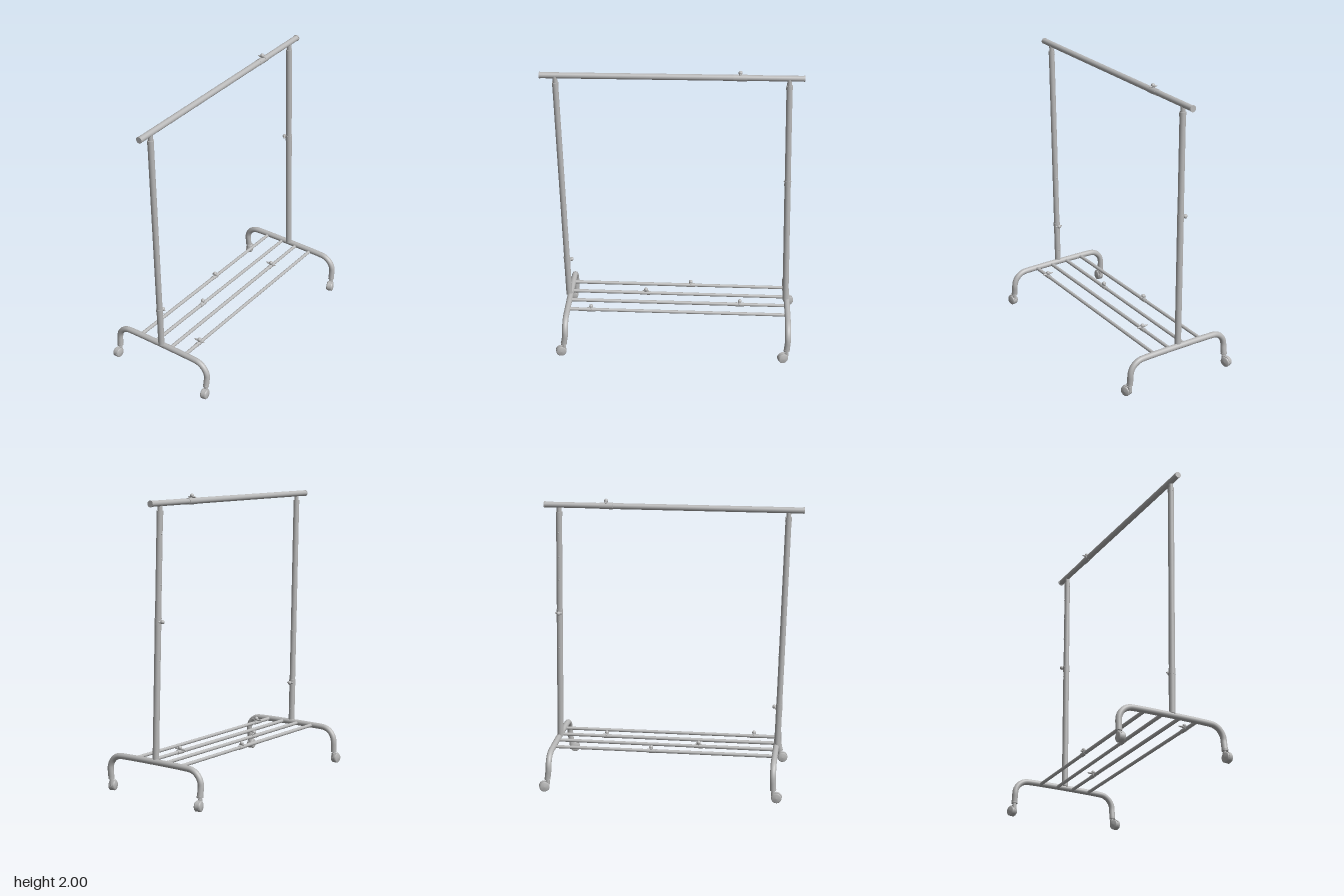
import * as THREE from 'three';

const V = (x, y, z) => new THREE.Vector3(x, y, z);
const UP = V(0, 1, 0);

export function createModel() {
  const model = new THREE.Group();
  model.name = 'clothesRack';
  const metal = new THREE.MeshStandardMaterial({ color: 0xb8b8b8 });
  metal.name = 'grey metal';

  const add = (parent, geometry, name) => {
    const mesh = new THREE.Mesh(geometry, metal);
    mesh.name = name;
    parent.add(mesh);
    return mesh;
  };

  // Straight capped tube between two points
  const rod = (parent, name, a, b, r, sides = 20) => {
    const dir = b.clone().sub(a);
    const mesh = add(parent, new THREE.CylinderGeometry(r, r, dir.length(), sides), name);
    mesh.position.copy(a).lerp(b, 0.5);
    mesh.quaternion.setFromUnitVectors(UP, dir.normalize());
  };

  // Telescoping tube: wide sleeve from a to the joint, narrower tube on to b
  const telescope = (name, a, b, t, r1, r2) => {
    const joint = a.clone().lerp(b, t);
    rod(model, name + 'Sleeve', a, joint, r1);
    rod(model, name + 'Inner', joint, b, r2);
    return joint;
  };

  // Winged clamp screw; out = screw direction, along = tube direction
  const clamp = (name, p, out, along, { tubeR, collar, height, wing, wingAlong = false }) => {
    const g = new THREE.Group();
    g.name = name;
    const x = V(0, 0, 0).crossVectors(out, along).normalize();
    g.quaternion.setFromRotationMatrix(new THREE.Matrix4().makeBasis(x, out, along));
    g.position.copy(p);
    rod(g, 'clampCollar', V(0, 0, -collar), V(0, 0, collar), tubeR + 0.003);
    rod(g, 'screw', V(0, 0, 0), V(0, height - 0.008, 0), 0.010, 12);
    const head = add(g, new THREE.SphereGeometry(0.014, 14, 10), 'screwHead');
    head.position.y = height - 0.012;
    const wings = add(g, new THREE.SphereGeometry(1, 16, 10), 'wings');
    wings.scale.set(wing, 0.007, 0.009);
    wings.position.y = tubeR + 0.007;
    if (wingAlong) wings.rotation.y = Math.PI / 2;
    model.add(g);
  };

  // Hanging rail
  const railA = V(0.019, 1.952, 0.885), railB = V(-0.05, 1.953, -0.882);
  const railDir = railB.clone().sub(railA).normalize();
  const railJoint = telescope('rail', railA, railB, 0.758, 0.0205, 0.0195);
  clamp('railClamp', railJoint, UP, railDir, { tubeR: 0.0195, collar: 0.045, height: 0.047, wing: 0.034 });
  rod(model, 'railEndCap', railA, railA.clone().addScaledVector(railDir, 0.008), 0.0222);
  rod(model, 'railEndCap', railB.clone().addScaledVector(railDir, -0.008), railB, 0.0222);

  // Posts with a slimmer neck under the rail
  const posts = [
    { name: 'frontPost', a: V(0.021, 0.272, 0.738), b: V(0.02, 1.905, 0.779), t: 0.175, out: V(0, 0, -1), height: 0.046, stops: [0.055, 0.41] },
    { name: 'backPost', a: V(-0.019, 0.272, -0.815), b: V(-0.042, 1.905, -0.781), t: 0.563, out: V(-1, 0, 0), height: 0.05, stops: [0.405, 0.525, 0.71, 0.81, 0.91] },
  ];
  for (const { name, a, b, t, out, height, stops } of posts) {
    const along = b.clone().sub(a).normalize();
    const joint = telescope(name, a, b, t, 0.0215, 0.0205);
    const normal = out.clone().addScaledVector(along, -out.dot(along)).normalize();
    clamp(name + 'Clamp', joint, normal, along, { tubeR: 0.0205, collar: 0.022, height, wing: 0.028 });
    rod(model, name + 'TopCollar', b.clone().addScaledVector(along, -0.03), b, 0.022);
    rod(model, name + 'Neck', b, b.clone().addScaledVector(along, 0.045), 0.016);
    // Height stop buttons
    for (const s of stops) {
      const button = add(model, new THREE.SphereGeometry(0.006, 10, 8), name + 'Button');
      button.position.copy(a).lerp(b, s).addScaledVector(normal, 0.018);
    }
  }

  // Twin-wheel caster, trailing behind its stem
  const caster = (foot, hub) => {
    const g = new THREE.Group();
    g.name = 'caster';
    g.position.set(hub.x, 0, hub.z);
    const dir = hub.clone().sub(foot);
    g.rotation.y = Math.atan2(dir.x, dir.z);
    const trail = Math.hypot(dir.x, dir.z);
    const profile = [[0, -0.010], [0.031, -0.010], [0.035, -0.006], [0.035, 0.003], [0.029, 0.009], [0, 0.012]]
      .map(([r, y]) => new THREE.Vector2(r, y));
    for (const s of [-1, 1]) {
      const wheel = add(g, new THREE.LatheGeometry(profile, 24), 'wheel');
      wheel.rotation.z = -s * Math.PI / 2;
      wheel.position.set(s * 0.0135, 0.037, 0);
    }
    // Rounded hood between and over the wheels, with the swivel stem
    rod(g, 'hood', V(-0.011, 0.039, 0), V(0.011, 0.039, 0), 0.0365, 24);
    rod(g, 'stem', V(0, 0.04, -trail), V(0, 0.1, -trail), 0.011, 14);
    rod(g, 'stemCollar', V(0, 0.05, -trail), V(0, 0.078, -trail), 0.015, 14);
    model.add(g);
  };

  // Base bars bent down into legs, left end then right end
  const bases = [
    { name: 'frontBase', xs: [-0.358, 0.403], barZ: [0.743, 0.717], footZ: [0.746, 0.728], hubs: [[-0.358, 0.77], [0.407, 0.747]] },
    { name: 'backBase', xs: [-0.402, 0.37], barZ: [-0.811, -0.838], footZ: [-0.82, -0.832], hubs: [[-0.409, -0.842], [0.38, -0.806]] },
  ];
  const barY = 0.26, bend = 0.1;
  for (const { name, xs, barZ, footZ, hubs } of bases) {
    const leg = (i) => {
      const x = xs[i], s = Math.sign(x);
      const slope = (barZ[1] - barZ[0]) / (xs[1] - xs[0]);
      const pts = [V(x, 0.092, footZ[i]), V(x, 0.125, THREE.MathUtils.lerp(footZ[i], barZ[i], 0.5))];
      for (let k = 0; k <= 6; k++) {
        const t = (k / 6) * Math.PI / 2;
        const inset = s * bend * (1 - Math.cos(t));
        pts.push(V(x - inset, barY - bend * (1 - Math.sin(t)), barZ[i] - slope * inset));
      }
      return pts;
    };
    const path = new THREE.CatmullRomCurve3([...leg(0), ...leg(1).reverse()], false, 'centripetal');
    add(model, new THREE.TubeGeometry(path, 120, 0.0205, 18), name + 'Bar');
    xs.forEach((x, i) => {
      rod(model, name + 'FootPlug', V(x, 0.088, footZ[i]), V(x, 0.1, footZ[i]), 0.0215);
      caster(V(x, 0, footZ[i]), V(hubs[i][0], 0, hubs[i][1]));
    });
  }

  // Four telescoping shelf rods: back x, front x, joint z, wing length, wing along the rod
  const shelf = [
    [-0.21, -0.167, -0.125, 0.024, false],
    [-0.078, -0.04, 0.19, 0.022, true],
    [0.043, 0.088, -0.49, 0.045, false],
    [0.17, 0.214, 0.555, 0.045, false],
  ];
  shelf.forEach(([xBack, xFront, jointZ, wing, wingAlong], i) => {
    const a = V(xFront, 0.262, 0.73), b = V(xBack, 0.257, -0.82);
    const joint = telescope('shelfRod' + (i + 1), a, b, (0.73 - jointZ) / 1.55, 0.0125, 0.0115);
    const along = b.clone().sub(a).setY(0).normalize();
    clamp('shelfClamp' + (i + 1), joint, UP, along, { tubeR: 0.0115, collar: 0.03, height: 0.039, wing, wingAlong });
  });

  return model;
}
